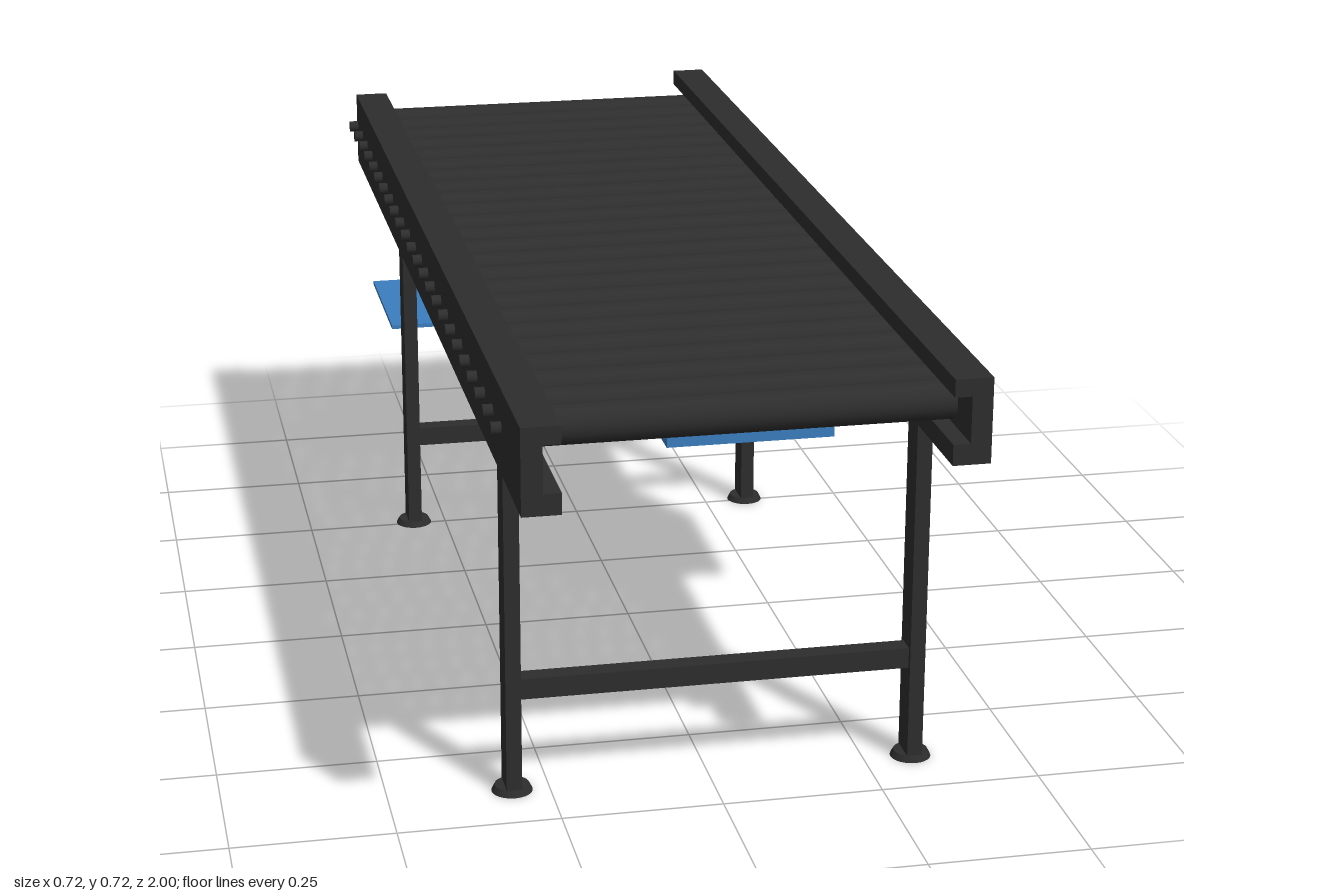
import * as THREE from 'three';

export function createModel() {
  const root = new THREE.Group();
  root.name = 'rollerConveyor';
  const steel = new THREE.MeshStandardMaterial({ color: 0x2d2d2d });
  steel.name = 'darkSteel';
  const blue = new THREE.MeshStandardMaterial({ color: 0x3b7dbf });
  blue.name = 'bluePaint';

  const add = (name, geometry, material, x = 0, y = 0, z = 0) => {
    const mesh = new THREE.Mesh(geometry, material);
    mesh.name = name;
    mesh.position.set(x, y, z);
    root.add(mesh);
    return mesh;
  };
  // Box given by its minimum and maximum on each axis
  const box = (name, material, [x0, x1], [y0, y1], [z0, z1]) =>
    add(name, new THREE.BoxGeometry(x1 - x0, y1 - y0, z1 - z0), material,
      (x0 + x1) / 2, (y0 + y1) / 2, (z0 + z1) / 2);

  // C-channel side rails, open towards the rollers and offset lengthwise
  const rail = (name, side, z0, z1) => {
    const points = [[0.347, 0.59], [0.347, 0.72], [0.29, 0.72], [0.29, 0.693],
      [0.316, 0.693], [0.316, 0.622], [0.29, 0.622], [0.29, 0.59]];
    const shape = new THREE.Shape(points.map(([x, y]) => new THREE.Vector2(side * x, y)));
    add(name, new THREE.ExtrudeGeometry(shape, { depth: z1 - z0, bevelEnabled: false }), steel, 0, 0, z0);
  };
  rail('leftRail', 1, -1, 0.92);
  rail('rightRail', -1, -0.925, 1);

  // Rollers with axle ends poking through the rails
  const rollerGeometry = new THREE.CylinderGeometry(0.03, 0.03, 0.628, 24).rotateZ(Math.PI / 2);
  const axleGeometry = new THREE.CylinderGeometry(0.01, 0.01, 0.724, 12).rotateZ(Math.PI / 2);
  for (let i = 0; i < 24; i++) {
    const z = -0.917 + i * 0.0759;
    add('roller', rollerGeometry, steel, 0, 0.66, z);
    add('axle', axleGeometry, steel, 0, 0.66, z);
  }

  // Leg frames: two posts, round feet and a cross bar
  const footGeometry = new THREE.CylinderGeometry(0.027, 0.032, 0.01, 24);
  for (const z of [0.638, -0.507]) {
    for (const x of [-0.308, 0.326]) {
      box('leg', steel, [x - 0.012, x + 0.012], [0.005, 0.58], [z - 0.025, z + 0.025]);
      add('foot', footGeometry, steel, x, 0.005, z);
    }
    box('crossBar', steel, [-0.3, 0.318], [0.157, 0.19], [z - 0.016, z + 0.016]);
  }

  // Drive housing under the left rail
  box('driveHousing', blue, [0.045, 0.335], [0.343, 0.585], [-0.18, 0.108]);

  // Hanging tray with down-turned lips
  box('tray', blue, [-0.243, 0.262], [0.436, 0.442], [-0.95, -0.57]);
  box('trayLip', blue, [-0.243, 0.262], [0.424, 0.437], [-0.95, -0.945]);
  box('trayLip', blue, [-0.243, 0.262], [0.424, 0.437], [-0.575, -0.57]);
  for (const x of [-0.232, 0.251]) {
    for (const z of [-0.612, -0.9]) {
      add('hanger', new THREE.CylinderGeometry(0.011, 0.011, 0.205, 16), steel, x, 0.5425, z);
    }
  }

  // Lower platform on its lifting cylinder
  box('platform', blue, [-0.327, 0.345], [0.346, 0.353], [-0.9, -0.613]);
  box('platformPad', blue, [-0.13, 0.148], [0.342, 0.346], [-0.79, -0.725]);
  add('liftCylinder', new THREE.CylinderGeometry(0.023, 0.023, 0.33, 24), steel, 0.009, 0.255, -0.757);

  return root;
}
